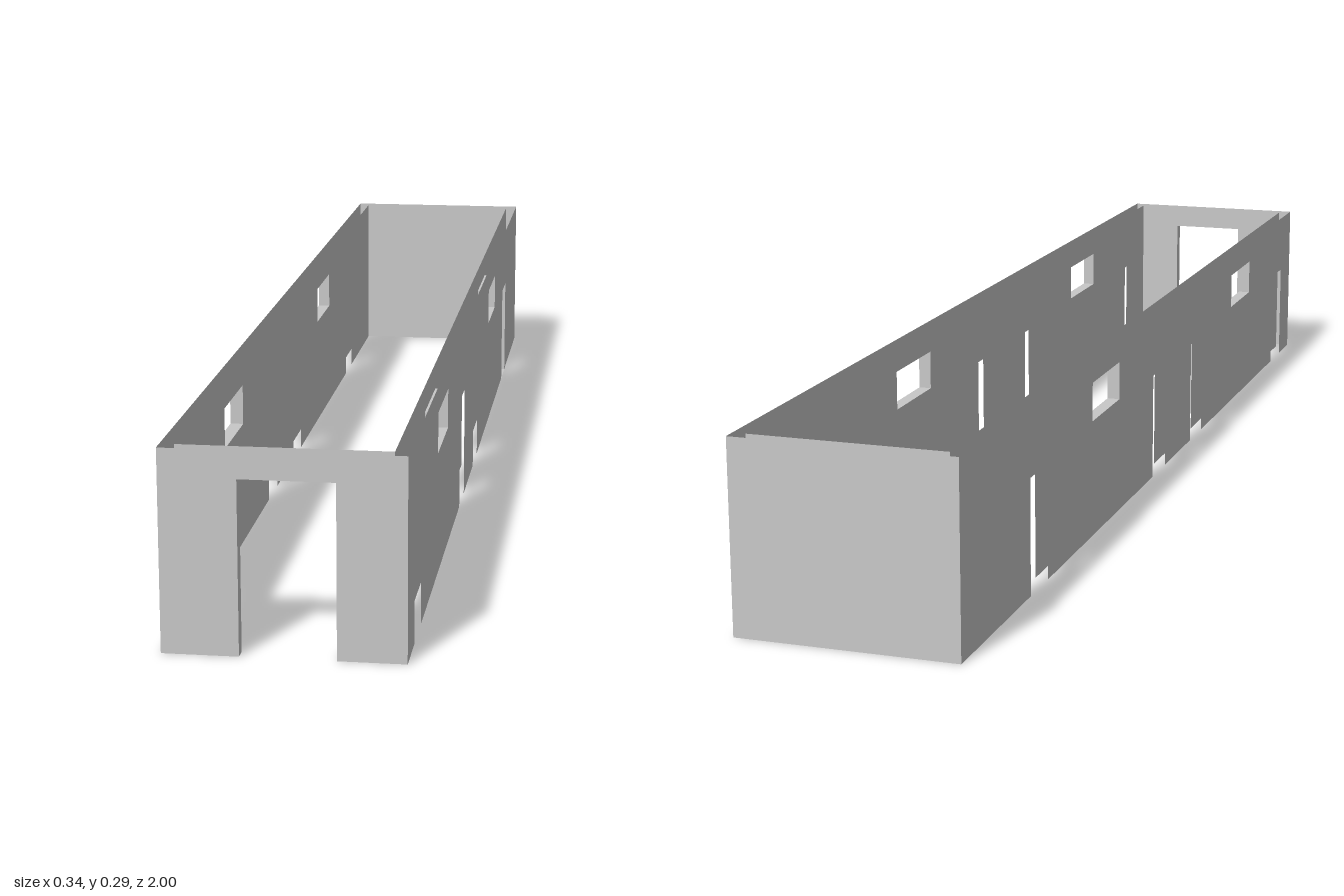
import * as THREE from 'three';

const HX = 0.169, HZ = 1, H = 0.29, T = 0.02; // half width, half length, height, wall thickness
const DOOR_H = 0.18, SILL = 0.188, HEAD = 0.25;

const sideDoors = [[-0.71, -0.63], [-0.06, 0.02], [0.19, 0.27], [0.84, 0.92]];
const leftWindows = [[-0.435, -0.288], [0.47, 0.617]];
const rightWindows = [[-0.408, -0.262], [0.488, 0.634]];
const frontDoor = [-0.061, 0.073];

export function createModel() {
  const wallGrey = new THREE.MeshStandardMaterial({ color: 0xc8c8c8, side: THREE.DoubleSide });
  wallGrey.name = 'wallGrey';
  const model = new THREE.Group();
  model.name = 'openWalledHall';

  // Wall sheet with doors notched out of the bottom edge and window holes
  function sheet(half, doors, doorHeight, windows) {
    const s = new THREE.Shape().moveTo(-half, 0);
    for (const [a, b] of doors) s.lineTo(a, 0).lineTo(a, doorHeight).lineTo(b, doorHeight).lineTo(b, 0);
    s.lineTo(half, 0).lineTo(half, H).lineTo(-half, H).closePath();
    for (const [a, b] of windows) {
      s.holes.push(new THREE.Path().moveTo(a, SILL).lineTo(a, HEAD).lineTo(b, HEAD).lineTo(b, SILL).closePath());
    }
    return new THREE.ShapeGeometry(s);
  }

  // Lining of an opening, one wall thickness deep, centred on local z = 0
  function lining(parent, name, [a, b], y0, y1, bottom) {
    const g = new THREE.Group();
    g.name = name;
    const add = (part, w, h, x, y, rx, ry) => {
      const m = new THREE.Mesh(new THREE.PlaneGeometry(w, h), wallGrey);
      m.name = part;
      m.position.set(x, y, 0);
      m.rotation.set(rx, ry, 0);
      g.add(m);
    };
    add('jambA', T, y1 - y0, a, (y0 + y1) / 2, 0, Math.PI / 2);
    add('jambB', T, y1 - y0, b, (y0 + y1) / 2, 0, -Math.PI / 2);
    add('lintel', b - a, T, (a + b) / 2, y1, Math.PI / 2, 0);
    if (bottom) add('sill', b - a, T, (a + b) / 2, y0, -Math.PI / 2, 0);
    parent.add(g);
  }

  // A wall is an outer and an inner sheet, open along the top and bottom;
  // dir tells which way along local z the outside lies
  function wall(name, half, dir, doors, doorHeight, windows) {
    const g = new THREE.Group();
    g.name = name;
    const outer = new THREE.Mesh(sheet(half, doors, doorHeight, windows), wallGrey);
    const inner = new THREE.Mesh(sheet(half - T, doors, doorHeight, windows), wallGrey);
    outer.name = 'outerSheet';
    inner.name = 'innerSheet';
    outer.position.z = dir * T / 2;
    inner.position.z = -dir * T / 2;
    g.add(outer, inner);
    for (const w of windows) lining(g, 'windowLining', w, SILL, HEAD, true);
    model.add(g);
    return g;
  }

  // Long side walls: local x runs along world z, local z along world -x
  const left = wall('leftWall', HZ, -1, sideDoors, DOOR_H, leftWindows);
  left.rotation.y = -Math.PI / 2;
  left.position.x = HX - T / 2;
  lining(left, 'rearDoorLining', sideDoors[0], 0, DOOR_H, true);

  const right = wall('rightWall', HZ, 1, sideDoors, DOOR_H, rightWindows);
  right.rotation.y = -Math.PI / 2;
  right.position.x = -HX + T / 2;

  // End walls
  const front = wall('frontWall', HX, 1, [frontDoor], HEAD, []);
  front.position.z = HZ - T / 2;
  lining(front, 'frontDoorLining', frontDoor, 0, HEAD, false);

  const back = wall('backWall', HX, -1, [], 0, []);
  back.position.z = -HZ + T / 2;

  return model;
}
